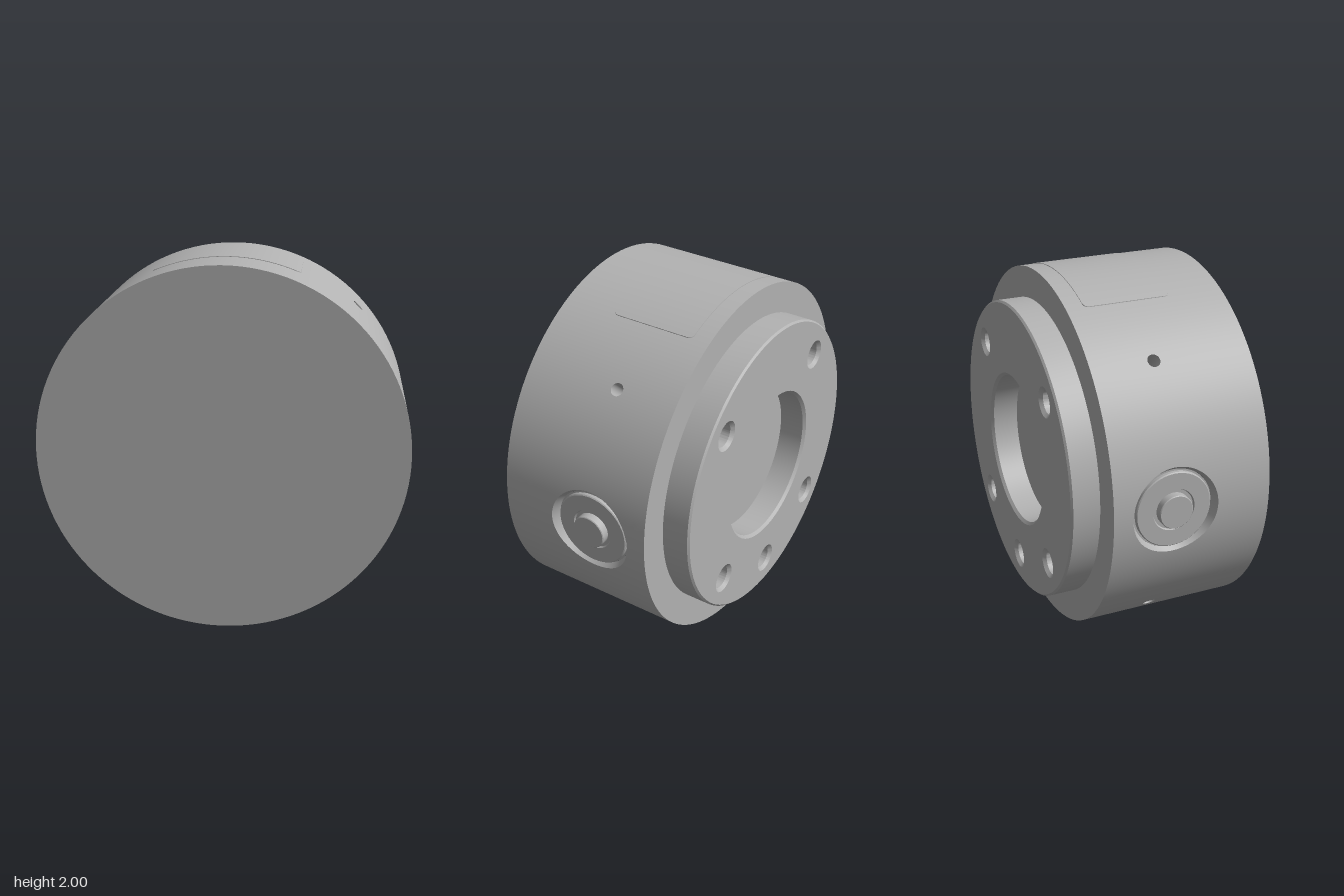
import * as THREE from 'three';
import { toCreasedNormals } from 'three/addons/utils/BufferGeometryUtils.js';

const R = 0.995;        // body radius
const FRONT = 0.51;     // front face z
const BACK = -0.36;     // rear shoulder z
const REAR = -0.515;    // flange face z
const PORT_Z = -0.02;   // z of the ports around the rim

const metal = new THREE.MeshStandardMaterial({ color: 0xb2b2b2 });
metal.name = 'grey metal';

function part(name, geometry) {
  const mesh = new THREE.Mesh(geometry, metal);
  mesh.name = name;
  return mesh;
}

// Skin a list of closed rings (equal point counts)
function loft(rings) {
  const n = rings[0].length, pos = [], index = [];
  rings.forEach(ring => ring.forEach(p => pos.push(...p)));
  for (let j = 0; j < rings.length - 1; j++) {
    for (let i = 0; i < n; i++) {
      const k = (i + 1) % n;
      const a = j * n + i, b = a + n, c = (j + 1) * n + k, d = j * n + k;
      index.push(a, b, c, a, c, d);
    }
  }
  const g = new THREE.BufferGeometry();
  g.setAttribute('position', new THREE.Float32BufferAttribute(pos, 3));
  g.setIndex(index);
  g.computeVertexNormals();
  return g;
}

// Give a curved skin the true normals of a cylinder about z
function radialNormals(g) {
  const p = g.attributes.position;
  for (let i = 0; i < p.count; i++) {
    const l = Math.hypot(p.getX(i), p.getY(i));
    g.attributes.normal.setXYZ(i, p.getX(i) / l, p.getY(i) / l, 0);
  }
  return g;
}

// Point on a cylinder about z, at sideways offset u
const onCylinder = (r, u, z) => [Math.sqrt(r * r - u * u), u, z];

function lathe(profile, segments) {
  const pts = profile.map(([r, h]) => new THREE.Vector2(r, h));
  return toCreasedNormals(new THREE.LatheGeometry(pts, segments), 0.4);
}

// Outline of one 45 degree wall sector, counter-clockwise from outside
function sectorOutline() {
  const n = 16, out = [];
  const u = t => R * Math.sin((t * Math.PI) / 8);
  for (let i = 0; i < n; i++) out.push([u(-1 + 2 * i / n), BACK]);
  for (let i = 0; i < n; i++) out.push([u(1), BACK + (FRONT - BACK) * i / n]);
  for (let i = 0; i < n; i++) out.push([u(1 - 2 * i / n), FRONT]);
  for (let i = 0; i < n; i++) out.push([u(-1), FRONT - (FRONT - BACK) * i / n]);
  return out;
}

// Wall sector with an optional round hole that tapers to a floor
function wallSector(hole, floorRadius, floorAt) {
  const group = new THREE.Group();
  const outline = sectorOutline();
  const circle = r => outline.map(([u, z]) => {
    const a = Math.atan2(z - PORT_Z, u);
    return [r * Math.cos(a), PORT_Z + r * Math.sin(a)];
  });
  const rim = circle(hole), rings = [], steps = 10;
  for (let j = 0; j <= steps; j++) {
    const t = j / steps;
    rings.push(outline.map(([u, z], i) => onCylinder(R,
      rim[i][0] + (u - rim[i][0]) * t, rim[i][1] + (z - rim[i][1]) * t)));
  }
  group.add(part('bodyWall', radialNormals(loft(rings))));
  if (hole > 0) {
    const floor = circle(floorRadius).map(([u, z]) => [floorAt, u, z]);
    group.add(part('holeWall', loft([floor, rim.map(([u, z]) => onCylinder(R, u, z))])));
  }
  return group;
}

// Disc profile seated in a radial hole, facing outward
function seat(name, profile) {
  const mesh = part(name, lathe(profile, 48).rotateZ(-Math.PI / 2));
  mesh.position.z = PORT_Z;
  return mesh;
}

// Slightly raised curved cover plate with rounded corners
function coverPlate() {
  const w = 0.395, h = 0.238, c = 0.025, s = new THREE.Shape();
  s.absarc(w - c, -h + c, c, -Math.PI / 2, 0);
  s.absarc(w - c, h - c, c, 0, Math.PI / 2);
  s.absarc(-w + c, h - c, c, Math.PI / 2, Math.PI);
  s.absarc(-w + c, -h + c, c, Math.PI, Math.PI * 1.5);
  s.closePath();
  const pts = s.getSpacedPoints(160).slice(0, -1);
  const ring = (r, k) => pts.map(p => onCylinder(r, p.x * k, p.y * k - 0.025));
  const rings = [];
  for (let j = 0; j <= 10; j++) rings.push(ring(R + 0.003, j / 10));
  const group = new THREE.Group();
  group.name = 'coverPlate';
  group.add(part('plateFace', radialNormals(loft(rings))));
  group.add(part('plateEdge', loft([ring(R + 0.003, 1), ring(R - 0.005, 1)])));
  return group;
}

export function createModel() {
  const model = new THREE.Group();
  model.name = 'roundHousing';
  const body = new THREE.Group();
  body.name = 'body';
  body.position.y = 0.998;
  model.add(body);

  // Front disc, rear shoulder, flange rim and central bore
  const turned = profile => lathe(profile.map(([r, z]) => [r, -z]), 128).rotateX(-Math.PI / 2);
  body.add(part('frontFace', turned([[0, FRONT], [R, FRONT]])));
  body.add(part('flangeRim', turned([[R, BACK], [0.825, BACK], [0.825, REAR + 0.01], [0.815, REAR]])));
  body.add(part('centralBore', turned([[0.428, REAR], [0.413, REAR + 0.015], [0.413, BACK], [0, BACK]])));

  // Flange face with the bore and five bolt holes cut out
  const bolts = [45, 135, 225, 270, 315].map(d => {
    const a = THREE.MathUtils.degToRad(d);
    return [0.665 * Math.cos(a), 0.665 * Math.sin(a)];
  });
  const face = new THREE.Shape().absarc(0, 0, 0.815, 0, Math.PI * 2);
  const cut = (x, y, r) => face.holes.push(new THREE.Path().absarc(x, y, r, 0, Math.PI * 2, true));
  cut(0, 0, 0.428);
  bolts.forEach(([x, y]) => cut(x, y, 0.082));
  const flangeFace = part('flangeFace', new THREE.ShapeGeometry(face, 64).rotateY(Math.PI));
  flangeFace.position.z = REAR;
  body.add(flangeFace);

  // Chamfered bolt holes
  const boltGeometry = turned([[0.082, REAR], [0.064, REAR + 0.018], [0.064, REAR + 0.2], [0, REAR + 0.2]]);
  for (const [x, y] of bolts) {
    const hole = part('boltHole', boltGeometry);
    hole.position.set(x, y, 0);
    body.add(hole);
  }

  // Eight rim sectors: side ports, small pin holes, top and bottom plates
  for (let k = 0; k < 8; k++) {
    let sector;
    if (k % 4 === 0) {
      sector = wallSector(0.236, 0.217, 0.945);
      sector.name = 'sidePort';
      sector.add(seat('portButton', [[0.217, 0.945], [0.207, 0.945], [0.207, 0.962], [0.202, 0.967],
        [0.115, 0.967], [0.11, 0.957], [0.092, 0.957], [0.092, 0.996], [0.088, 1], [0, 1]]));
    } else if (k % 2 === 1) {
      sector = wallSector(0.034, 0.034, 0.88);
      sector.name = 'pinHole';
      sector.add(seat('pinHoleFloor', [[0.034, 0.88], [0, 0.88]]));
    } else {
      sector = wallSector(0, 0, 0);
      sector.name = 'plateSector';
      sector.add(coverPlate());
    }
    sector.rotation.z = (k * Math.PI) / 4;
    body.add(sector);
  }
  return model;
}
